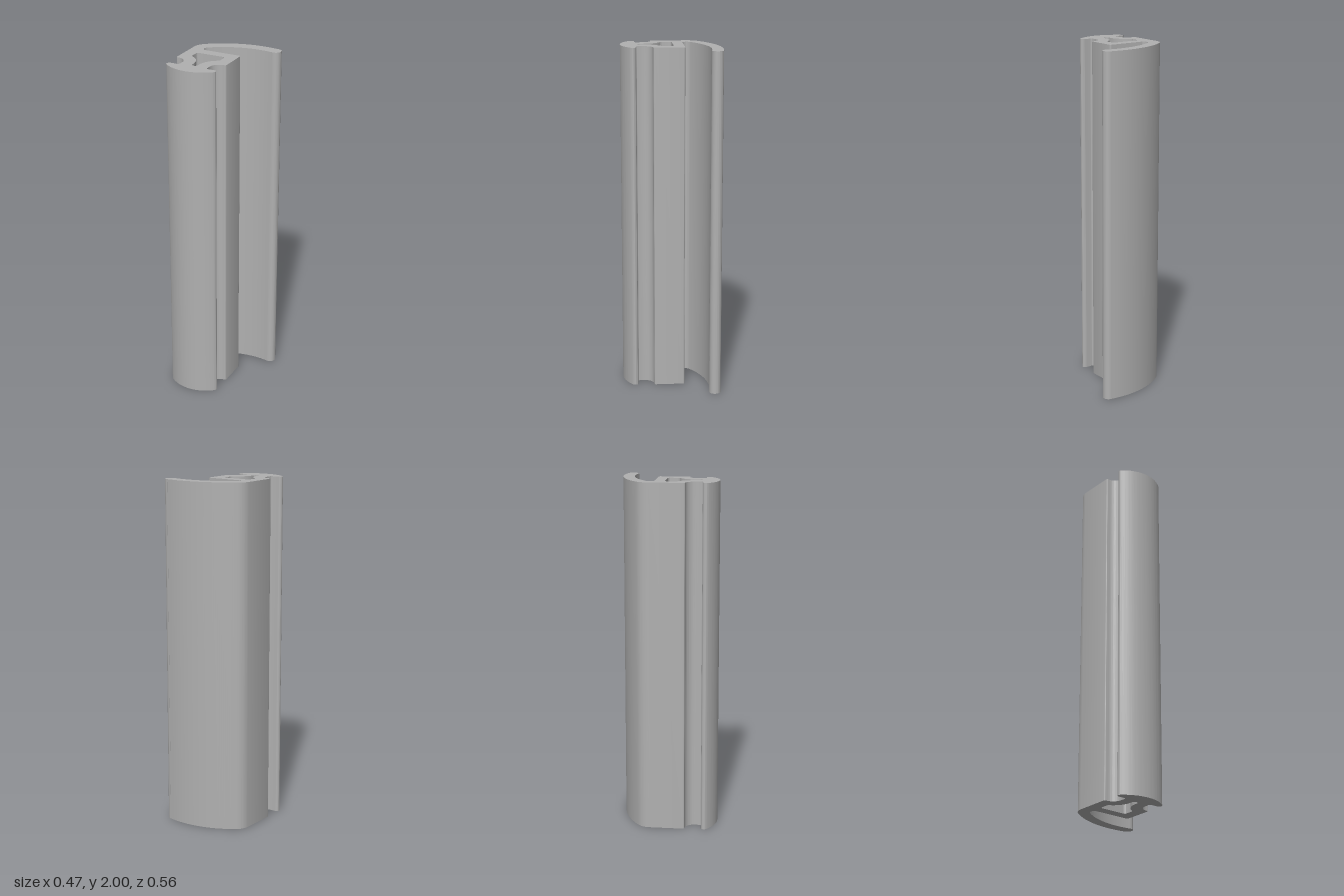
import * as THREE from 'three';
import { toCreasedNormals } from 'three/addons/utils/BufferGeometryUtils.js';

const PI = Math.PI;
const HEIGHT = 2;

// Cross-section drawn in x and z
function sealProfile() {
  const s = new THREE.Shape();
  // curved arm, back face, running into the left wall
  s.absarc(0.115, 0.223, 0.506, -1.398, -2.243, true);
  s.quadraticCurveTo(-0.235, -0.145, -0.235, -0.1);
  s.lineTo(-0.235, 0.091);
  s.quadraticCurveTo(-0.235, 0.101, -0.225, 0.101);
  // left neck groove
  s.absarc(-0.221, 0.156, 0.055, -PI / 2, 0, false);
  s.lineTo(-0.166, 0.183);
  s.quadraticCurveTo(-0.166, 0.196, -0.179, 0.196);
  // domed foot with rounded lips
  s.absarc(-0.215, 0.213, 0.017, -PI / 2, 2.293 - 2 * PI, true);
  s.absarc(-0.083, 0.066, 0.215, 2.293, 0.848, true);
  s.absarc(0.049, 0.213, 0.017, 0.848, -PI / 2, true);
  // right neck groove
  s.lineTo(0.013, 0.196);
  s.quadraticCurveTo(0, 0.196, 0, 0.183);
  s.absarc(0.055, 0.156, 0.055, PI, PI * 1.5, false);
  // box section
  s.lineTo(0.059, 0.101);
  s.quadraticCurveTo(0.069, 0.101, 0.069, 0.091);
  s.lineTo(0.069, -0.067);
  s.quadraticCurveTo(0.069, -0.077, 0.059, -0.077);
  // slot under the arm, arm inner face and rounded tip
  s.absarc(-0.145, -0.101, 0.024, PI / 2, PI + 0.8, false);
  s.absarc(0.115, 0.223, 0.441, -2.258, -1.37, false);
  s.absarc(0.202, -0.243, 0.0335, PI / 2, -PI / 2, true);
  s.closePath();
  s.holes.push(hollowCore());
  return s;
}

// Funnel-shaped hollow, symmetric about x = -0.083
function hollowCore() {
  const h = new THREE.Path();
  h.moveTo(-0.155, -0.018);
  h.lineTo(-0.011, -0.018);
  h.quadraticCurveTo(0.003, -0.018, 0.003, -0.004);
  h.lineTo(0.003, 0.038);
  h.quadraticCurveTo(0.003, 0.047, -0.01, 0.0535);
  h.absarc(0.054, 0.155, 0.12, -2.133, -PI, true);
  h.absarc(-0.083, 0.165, 0.017, 0, PI, false);
  h.absarc(-0.22, 0.155, 0.12, 0, -1.009, true);
  h.quadraticCurveTo(-0.169, 0.047, -0.169, 0.038);
  h.lineTo(-0.169, -0.004);
  h.quadraticCurveTo(-0.169, -0.018, -0.155, -0.018);
  return h;
}

export function createModel() {
  const greyRubber = new THREE.MeshStandardMaterial({ color: 0xb0b0b0 });
  greyRubber.name = 'greyRubber';

  const geometry = new THREE.ExtrudeGeometry(sealProfile(), {
    depth: HEIGHT, bevelEnabled: false, curveSegments: 20,
  });
  // stand the extrusion upright
  geometry.rotateX(PI / 2);
  geometry.translate(0, HEIGHT, 0);

  const strip = new THREE.Mesh(toCreasedNormals(geometry, PI / 6), greyRubber);
  strip.name = 'sealStrip';

  const group = new THREE.Group();
  group.name = 'extrudedSeal';
  group.add(strip);
  return group;
}
